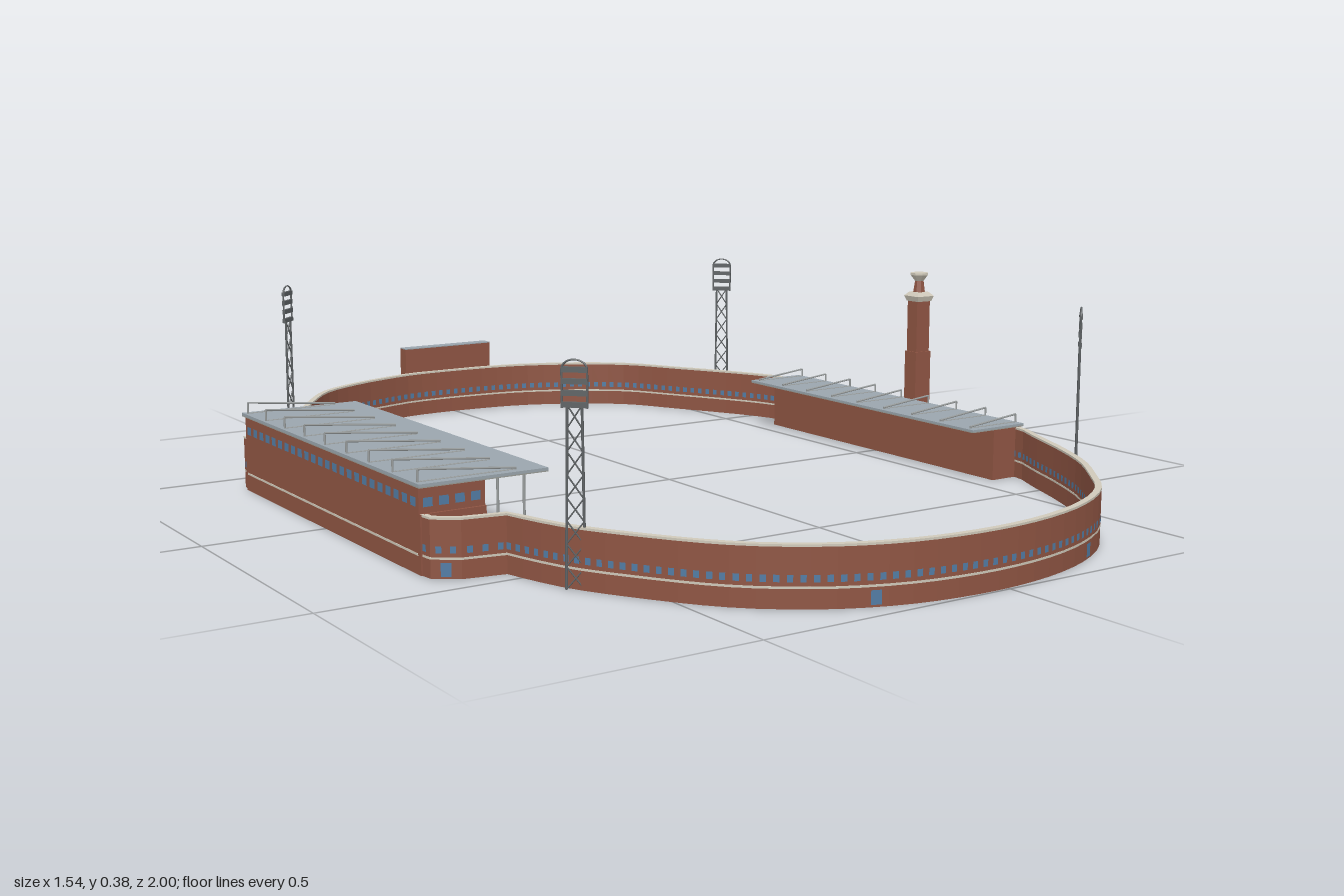
import * as THREE from 'three';

const mat = (name, color, extra = {}) => Object.assign(new THREE.MeshStandardMaterial({ color, ...extra }), { name });

export function createModel() {
  const brick = mat('brick', 0x8f5543, { flatShading: true });
  const slate = mat('slate roof', 0x9aa5ad);
  const soffitGrey = mat('soffit grey', 0x9a9d98);
  const stone = mat('pale stone', 0xcfc9ba, { flatShading: true });
  const steel = mat('dark steel', 0x5f6365);
  const trussGrey = mat('truss grey', 0x9b9f9f);
  const glass = mat('blue glass', 0x527ca4);
  const model = new THREE.Group();
  model.name = 'stadium';

  const group = (name, parent = model) => {
    const g = new THREE.Group();
    g.name = name;
    parent.add(g);
    return g;
  };
  const add = (parent, name, geo, m) => {
    const mesh = new THREE.Mesh(geo, m);
    mesh.name = name;
    parent.add(mesh);
    return mesh;
  };
  // box given by its limits
  const block = (parent, name, m, x0, x1, y0, y1, z0, z1) => {
    const b = add(parent, name, new THREE.BoxGeometry(x1 - x0, y1 - y0, z1 - z0), m);
    b.position.set((x0 + x1) / 2, (y0 + y1) / 2, (z0 + z1) / 2);
    return b;
  };
  // four walls and a lid, open below
  const hollow = (parent, x0, x1, y1, z0, z1) => {
    const t = 0.008;
    block(parent, 'rightWall', brick, x0, x0 + t, 0, y1, z0, z1);
    block(parent, 'leftWall', brick, x1 - t, x1, 0, y1, z0, z1);
    block(parent, 'backEnd', brick, x0 + t, x1 - t, 0, y1, z0, z0 + t);
    block(parent, 'frontEnd', brick, x0 + t, x1 - t, 0, y1, z1 - t, z1);
    block(parent, 'floor', brick, x0 + t, x1 - t, y1 - t, y1, z0 + t, z1 - t);
  };
  // flat pane turned by yaw
  const pane = (parent, name, w, h, x, y, z, yaw) => {
    const p = add(parent, name, new THREE.PlaneGeometry(w, h), glass);
    p.position.set(x, y, z);
    p.rotation.y = yaw;
  };
  // thin bar between two points
  const rod = (parent, name, a, b, r, m = steel) => {
    const p = new THREE.Vector3(...a), q = new THREE.Vector3(...b);
    const d = q.clone().sub(p);
    const bar = add(parent, name, new THREE.CylinderGeometry(r, r, d.length(), 6), m);
    bar.position.copy(p).add(q).multiplyScalar(0.5);
    bar.quaternion.setFromUnitVectors(new THREE.Vector3(0, 1, 0), d.normalize());
  };

  // ---- Curved perimeter walls
  const smooth = pts => new THREE.CatmullRomCurve3(pts.map(([x, z]) => new THREE.Vector3(x, 0, z)))
    .getSpacedPoints(44).map(p => new THREE.Vector2(p.x, p.z));
  const backPath = smooth([[0.619, -0.37], [0.592, -0.47], [0.547, -0.565], [0.48, -0.685], [0.415, -0.8],
    [0.345, -0.862], [0.26, -0.912], [0.16, -0.95], [0, -0.967], [-0.12, -0.962], [-0.2, -0.94], [-0.29, -0.905],
    [-0.395, -0.84], [-0.48, -0.73], [-0.55, -0.62], [-0.6, -0.53], [-0.63, -0.455]]);
  backPath.push(new THREE.Vector2(-0.667, -0.44), new THREE.Vector2(-0.755, -0.412), new THREE.Vector2(-0.755, -0.385));
  const frontPath = smooth([[-0.636, 0.463], [-0.595, 0.593], [-0.54, 0.693], [-0.455, 0.815], [-0.395, 0.873],
    [-0.3, 0.935], [-0.18, 0.977], [-0.03, 0.992], [0.11, 0.977], [0.23, 0.938], [0.328, 0.878], [0.403, 0.793],
    [0.473, 0.7], [0.533, 0.585], [0.582, 0.47], [0.614, 0.4], [0.619, 0.37]]);
  frontPath.unshift(new THREE.Vector2(-0.757, 0.395), new THREE.Vector2(-0.755, 0.42), new THREE.Vector2(-0.715, 0.449));

  const offset = (path, d) => path.map((p, i) => {
    const a = path[Math.max(i - 1, 0)], b = path[Math.min(i + 1, path.length - 1)];
    const t = b.clone().sub(a).normalize();
    return new THREE.Vector2(p.x - t.y * d, -(p.y + t.x * d));
  });
  const ribbon = (parent, name, path, half, y0, y1, m) => {
    const shape = new THREE.Shape([...offset(path, half), ...offset(path, -half).reverse()]);
    const geo = new THREE.ExtrudeGeometry(shape, { depth: y1 - y0, bevelEnabled: false });
    add(parent, name, geo.rotateX(-Math.PI / 2).translate(0, y0, 0), m);
  };
  const walls = [['backWall', backPath, [-0.55, -0.25, 0.25, 0.55]], ['frontWall', frontPath, [-0.74, -0.245, 0.255, 0.555]]];
  for (const [name, path, doors] of walls) {
    const g = group(name);
    ribbon(g, 'brickWall', path, 0.0055, 0, 0.101, brick);
    ribbon(g, 'coping', path, 0.006, 0.101, 0.105, stone);
    ribbon(g, 'beltCourse', path, 0.006, 0.033, 0.037, stone);
    // a row of small windows on both faces, with a few doors outside
    for (let i = 0; i < path.length - 1; i++) {
      const a = path[i], b = path[i + 1], len = a.distanceTo(b);
      const out = new THREE.Vector2(-(b.y - a.y), b.x - a.x).normalize();
      const mid = a.clone().add(b).multiplyScalar(0.5);
      if (out.dot(mid) < 0) out.negate();
      const yaw = Math.atan2(out.x, out.y);
      const count = Math.max(1, Math.round(len / 0.026));
      for (let k = 0; k < count; k++) {
        const p = a.clone().lerp(b, (k + 0.5) / count);
        const q = p.clone().addScaledVector(out, 0.0066), r = p.clone().addScaledVector(out, -0.0066);
        pane(g, 'window', 0.01, 0.012, q.x, 0.05, q.y, yaw);
        pane(g, 'innerWindow', 0.01, 0.012, r.x, 0.05, r.y, yaw + Math.PI);
      }
      if (doors.some(x => (a.x - x) * (b.x - x) < 0)) {
        mid.addScaledVector(out, 0.0066);
        pane(g, 'door', 0.018, 0.024, mid.x, 0.016, mid.y, yaw);
      }
    }
  }

  // ---- Scoreboard
  const board = group('scoreboard');
  block(board, 'boardBody', brick, -0.13, 0.102, 0, 0.163, -1, -0.97);
  block(board, 'boardCap', slate, -0.13, 0.102, 0.163, 0.165, -1, -0.97);

  // ---- Roof frames: a short mast at the rear, a sloping tie and a rib on the roof
  const roofFrames = (parent, rear, front, y, rise, step) => {
    for (let i = -4; i <= 4; i++) {
      const z = i * step + 0.005;
      rod(parent, 'roofMast', [rear, y, z], [rear, y + rise, z], 0.002, trussGrey);
      rod(parent, 'roofTie', [rear, y + rise, z], [front, y + 0.003, z], 0.002, trussGrey);
      rod(parent, 'roofRib', [rear, y, z], [front, y, z], 0.0018, trussGrey);
    }
  };

  // ---- Main stand on the right-hand side
  const main = group('mainStand');
  hollow(main, -0.765, -0.64, 0.105, -0.39, 0.4);
  block(main, 'upperStorey', brick, -0.765, -0.64, 0.105, 0.152, -0.385, 0.395);
  block(main, 'roof', slate, -0.769, -0.522, 0.153, 0.158, -0.393, 0.406);
  block(main, 'soffit', soffitGrey, -0.769, -0.522, 0.151, 0.153, -0.393, 0.406);
  block(main, 'beltCourse', stone, -0.766, -0.756, 0.033, 0.037, -0.38, 0.39);
  for (let i = 0; i < 24; i++) {
    const z = -0.365 + i * 0.0322;
    for (const s of [-1, 1]) pane(main, 'window', 0.02, 0.016, -0.7025 + s * 0.0632, 0.124, z, s * Math.PI / 2);
  }
  for (let i = 0; i < 4; i++) {
    const x = -0.748 + i * 0.03;
    pane(main, 'frontEndWindow', 0.018, 0.016, x, 0.124, 0.3957, 0);
    pane(main, 'backEndWindow', 0.018, 0.016, x, 0.124, -0.3857, Math.PI);
  }
  roofFrames(main, -0.762, -0.575, 0.158, 0.022, 0.0955);
  for (let i = -4; i <= 4; i++) rod(main, 'roofPost', [-0.56, 0, i * 0.0955 + 0.005], [-0.56, 0.152, i * 0.0955 + 0.005], 0.0025, trussGrey);

  // ---- Smaller stand on the left-hand side
  const side = group('sideStand');
  hollow(side, 0.55, 0.625, 0.108, -0.37, 0.38);
  block(side, 'beltCourse', stone, 0.625, 0.626, 0.033, 0.037, -0.37, -0.1);
  block(side, 'roof', slate, 0.485, 0.627, 0.109, 0.113, -0.375, 0.387);
  block(side, 'soffit', soffitGrey, 0.485, 0.627, 0.107, 0.109, -0.375, 0.387);
  roofFrames(side, 0.623, 0.495, 0.113, 0.017, 0.0905);

  // ---- Chimney-like tower
  const tower = group('brickTower');
  tower.position.set(0.738, 0, -0.073);
  const tier = (name, m, w, y0, y1) => block(tower, name, m, -w / 2, w / 2, y0, y1, -w * 0.43, w * 0.43);
  tier('plinth', brick, 0.058, 0, 0.05);
  tier('lowerShaft', brick, 0.044, 0.05, 0.2);
  tier('upperShaft', brick, 0.038, 0.2, 0.318);
  const turned = (name, m, sides, rTop, rBottom, y0, y1) => {
    const c = add(tower, name, new THREE.CylinderGeometry(rTop, rBottom, y1 - y0, sides), m);
    c.geometry.rotateY(Math.PI / sides);
    c.position.y = (y0 + y1) / 2;
  };
  turned('cornice', stone, 4, 0.034, 0.028, 0.316, 0.328);
  turned('corniceTop', stone, 4, 0.022, 0.034, 0.328, 0.337);
  turned('neck', brick, 8, 0.01, 0.014, 0.337, 0.364);
  turned('bowl', stone, 8, 0.021, 0.01, 0.362, 0.376);
  turned('bowlRim', stone, 8, 0.021, 0.021, 0.376, 0.381);

  // ---- Floodlight masts
  const quarter = Math.PI / 4;
  const places = [[-0.567, -0.635, quarter], [0.56, -0.605, -quarter], [-0.593, 0.615, -quarter], [0.576, 0.585, quarter]];
  for (const [x, z, yaw] of places) {
    const f = group('floodlight');
    f.position.set(x, 0, z);
    f.rotation.y = yaw;
    const bays = 8, top = 0.305, half = y => 0.016 - 0.012 * y;
    for (const s of [-1, 1]) {
      rod(f, 'leg', [s * half(0), 0, 0], [s * half(top), top, 0], 0.0024);
      rod(f, 'headSide', [s * 0.021, 0.3, 0], [s * 0.021, 0.363, 0], 0.002);
      for (let i = 0; i < bays; i++) {
        const y0 = top * i / bays, y1 = top * (i + 1) / bays;
        rod(f, 'brace', [s * half(y0), y0, 0], [-s * half(y1), y1, 0], 0.0014);
      }
    }
    const arch = add(f, 'headArch', new THREE.TorusGeometry(0.021, 0.002, 6, 14, Math.PI), steel);
    arch.position.y = 0.363;
    arch.scale.y = 0.75;
    for (let i = 0; i < 4; i++) block(f, 'lampRow', steel, -0.022, 0.022, 0.301 + i * 0.019, 0.31 + i * 0.019, -0.003, 0.003);
  }
  return model;
}
